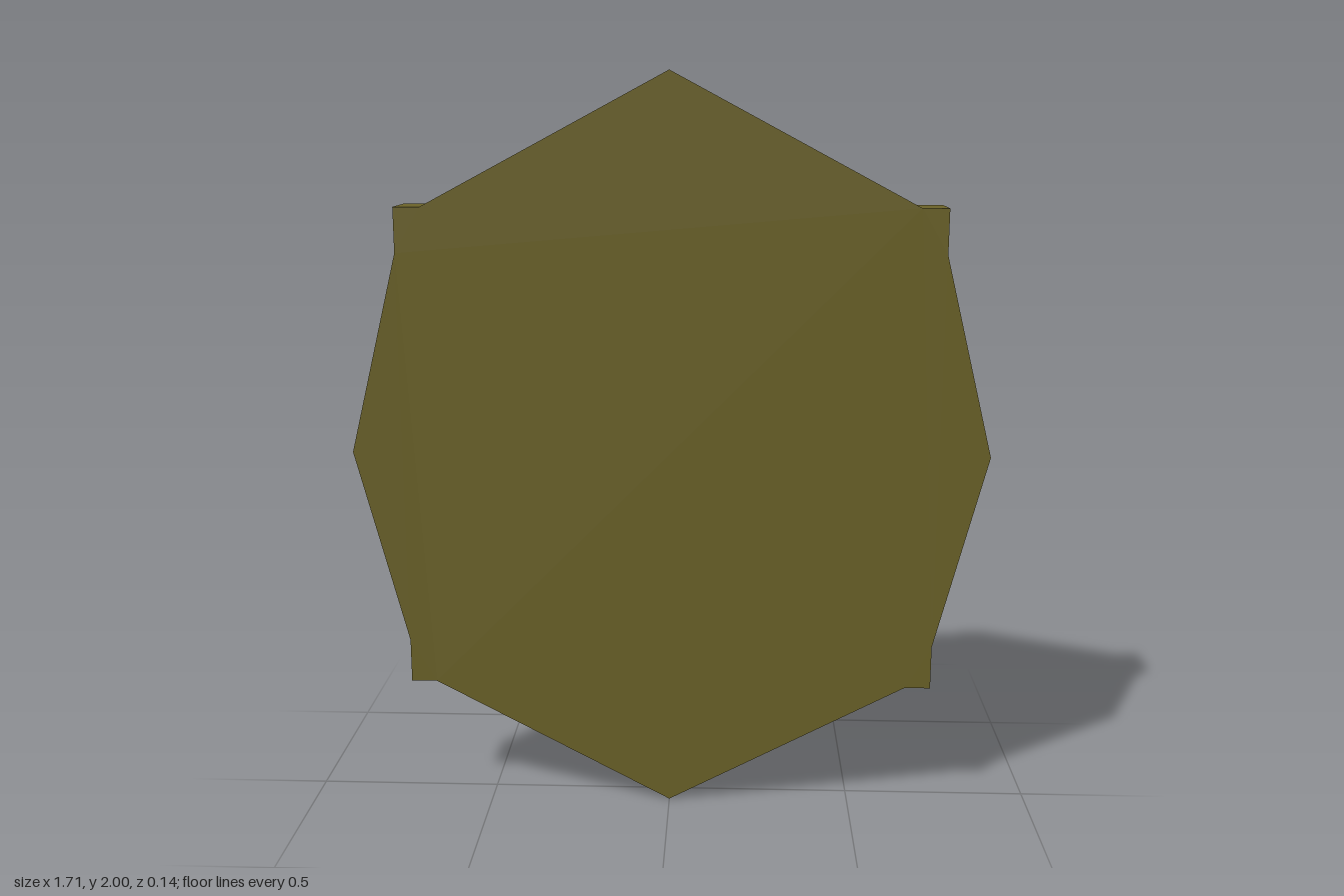
import * as THREE from 'three';
import { mergeGeometries } from 'three/addons/utils/BufferGeometryUtils.js';

const BACK = -0.07, STEP = -0.05, PANE = -0.03, FRONT = 0.07;

const toShape = (pts) => new THREE.Shape(pts.map(([x, y]) => new THREE.Vector2(x, y)));

// Full counter-clockwise loop from its quarter (right side, bottom to middle), mirrored about y = 1 and x = 0
function symmetricLoop(quarter) {
  const upper = quarter.slice(0, -1).reverse().map(([x, y]) => [x, 2 - y]);
  const right = [...quarter, ...upper];
  const left = right.slice(1, -1).reverse().map(([x, y]) => [-x, y]);
  return [...right, ...left];
}

// Flat-sided wall between two loops lying at different depths
function wall(a, za, b, zb) {
  const pos = [];
  a.forEach((p, i) => {
    const j = (i + 1) % a.length;
    const A = [...p, za], B = [...a[j], za], C = [...b[j], zb], D = [...b[i], zb];
    pos.push(...A, ...B, ...C, ...A, ...C, ...D);
  });
  const g = new THREE.BufferGeometry();
  g.setAttribute('position', new THREE.Float32BufferAttribute(pos, 3));
  g.computeVertexNormals();
  return g;
}

function face(shape) {
  const g = new THREE.ShapeGeometry(shape).toNonIndexed();
  g.deleteAttribute('uv');
  return g;
}

export function createModel() {
  const mat = (name, color) => {
    const m = new THREE.MeshStandardMaterial({ color });
    m.name = name;
    return m;
  };
  const olive = mat('olive frame', 0x6b6228);
  const grey = mat('grey glass', 0x969696);
  const blue = mat('blue water', 0x4a5d9c);
  const red = mat('red handprint', 0xad485a);

  const group = new THREE.Group();
  const add = (name, geometry, material) => {
    const mesh = new THREE.Mesh(geometry, material);
    mesh.name = name;
    group.add(mesh);
    return mesh;
  };
  // Plate facing -z, drawn as seen from behind
  const plate = (name, pts, material, z) =>
    add(name, face(toShape(pts)).rotateY(Math.PI).translate(0, 0, z), material);

  // Frame: notched outline, solid on the front, bevelled opening on the back
  const outline = symmetricLoop([[0, 0], [0.65, 0.345], [0.72, 0.345], [0.72, 0.465], [0.855, 1]]);
  const opening = symmetricLoop([[0, 0.18], [0.652, 0.465], [0.77, 1]]);
  const pane = symmetricLoop([[0, 0.287], [0.565, 0.53], [0.667, 1]]);
  const rim = toShape(outline);
  rim.holes.push(toShape(opening));
  add('frame', mergeGeometries([
    face(toShape(outline)).translate(0, 0, FRONT),
    face(rim).rotateY(Math.PI).translate(0, 0, BACK),
    wall(outline, BACK, outline, FRONT),
    wall(pane, STEP, opening, BACK),
    wall(pane, PANE, pane, STEP),
  ]), olive);

  // Pane split by a wavy water line
  const wave = new THREE.SplineCurve([
    [-0.653, 0.935], [-0.55, 0.942], [-0.457, 0.928], [-0.34, 0.935], [-0.24, 0.926],
    [-0.165, 0.915], [-0.07, 0.93], [0, 0.948], [0.05, 0.972], [0.146, 0.98],
    [0.256, 0.995], [0.372, 0.99], [0.483, 0.982], [0.58, 0.988], [0.663, 1.02],
  ].map(([x, y]) => new THREE.Vector2(x, y))).getPoints(56).map((p) => [p.x, p.y]);
  plate('glass', [...wave, [0.565, 1.47], [0, 1.713], [-0.565, 1.47], [-0.667, 1]], grey, PANE);
  plate('water', [...wave, [0.667, 1], [0.565, 0.53], [0, 0.287], [-0.565, 0.53]], blue, PANE);

  // Handprints: narrow wrist, palm, four fingers and a thumb
  const hand = [
    [-0.014, -0.055], [0.016, -0.055], [0.02, -0.025], [0.036, 0], [0.036, 0.03],
    [0.026, 0.008], [0.025, 0.054], [0.014, 0.054], [0.011, 0.012], [0.008, 0.056],
    [-0.003, 0.056], [-0.005, 0.012], [-0.009, 0.05], [-0.019, 0.048], [-0.02, 0.01],
    [-0.026, 0.04], [-0.035, 0.036], [-0.032, -0.005], [-0.02, -0.03],
  ];
  for (const [name, u, y, side] of [['leftHandprint', -0.205, 1.16, 1], ['rightHandprint', 0.296, 1.32, -1]]) {
    plate(name, hand.map(([a, b]) => [u + side * a, y + b]), red, PANE - 0.004);
  }

  return group;
}
